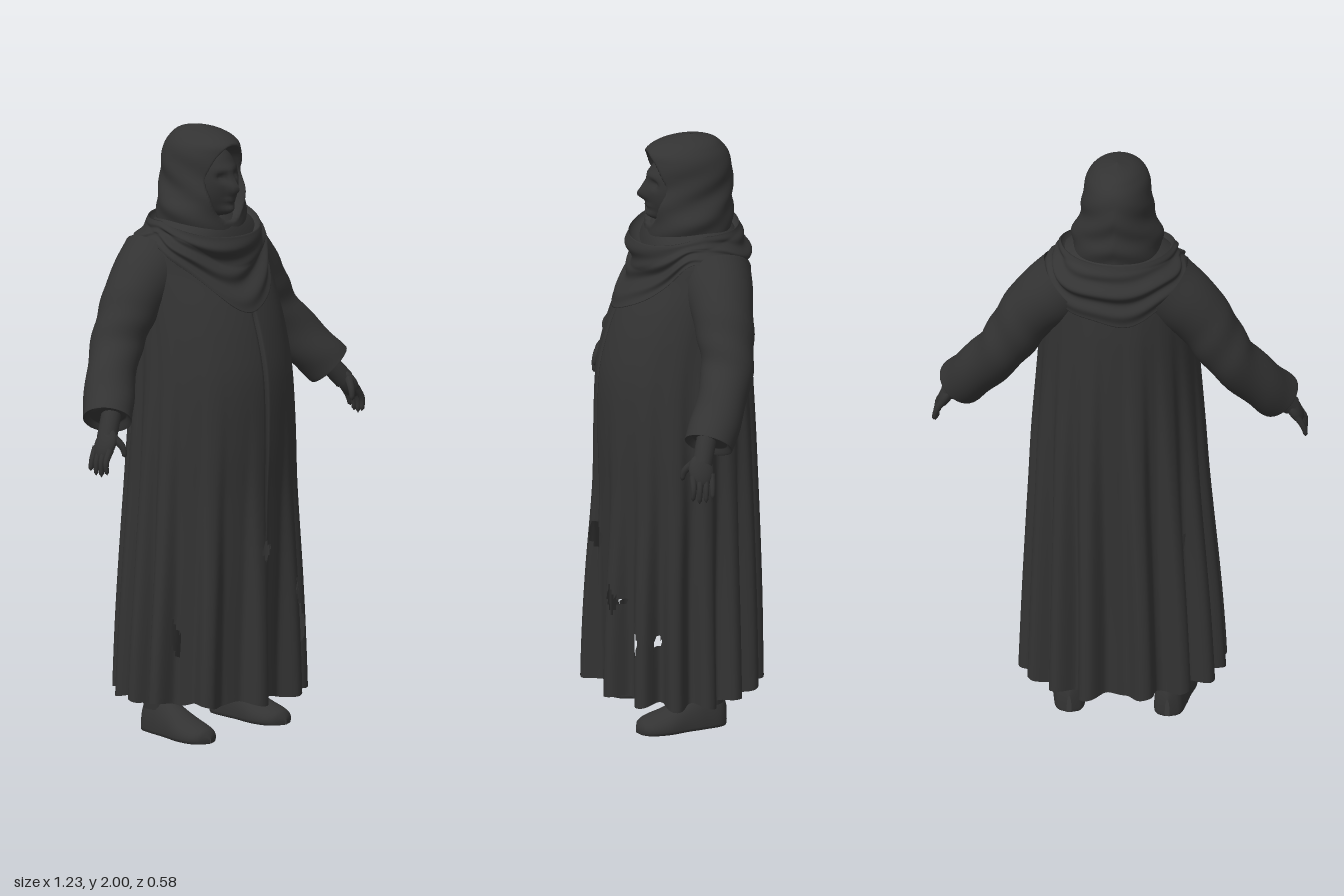
import * as THREE from 'three';
import { mergeVertices } from 'three/addons/utils/BufferGeometryUtils.js';

const { sin, cos, PI, max, min, abs, hypot } = Math;
const mix = (a, b, t) => a + (b - a) * t;
// Eases from 0 at a to 1 at b, in either direction
const smooth = (a, b, x) => {
  const t = min(max((x - a) / (b - a), 0), 1);
  return t * t * (3 - 2 * t);
};

const material = (name, color) => {
  const m = new THREE.MeshStandardMaterial({ color, side: THREE.DoubleSide });
  m.name = name;
  return m;
};

// Smooth surface from a rule f(u, v); u runs around, v runs along; skip() cuts holes
function surface(f, nu, nv, skip) {
  const pos = [], idx = [];
  for (let j = 0; j <= nv; j++)
    for (let i = 0; i < nu; i++) pos.push(...f(i / nu, j / nv));
  const tri = (a, b, c) => {
    const mid = k => (pos[a * 3 + k] + pos[b * 3 + k] + pos[c * 3 + k]) / 3;
    if (!skip || !skip(mid(0), mid(1), mid(2))) idx.push(a, b, c);
  };
  for (let j = 0; j < nv; j++)
    for (let i = 0; i < nu; i++) {
      const k = (i + 1) % nu, a = j * nu + i, b = j * nu + k, c = a + nu, d = b + nu;
      tri(a, b, d);
      tri(a, d, c);
    }
  const g = new THREE.BufferGeometry();
  g.setAttribute('position', new THREE.Float32BufferAttribute(pos, 3));
  g.setIndex(idx);
  g.computeVertexNormals();
  return g;
}

// Catmull-Rom lookup in rows sorted by their first number
function sample(rows, key) {
  let i = 0;
  while (i < rows.length - 2 && key > rows[i + 1][0]) i++;
  const p = rows[max(i - 1, 0)], a = rows[i], b = rows[i + 1], q = rows[min(i + 2, rows.length - 1)];
  const h = b[0] - a[0], t = min(max((key - a[0]) / h, 0), 1);
  return a.map((_, k) => {
    const m0 = (b[k] - p[k]) / (b[0] - p[0]) * h, m1 = (q[k] - a[k]) / (q[0] - a[0]) * h;
    return (2 * t ** 3 - 3 * t * t + 1) * a[k] + (t ** 3 - 2 * t * t + t) * m0
      + (3 * t * t - 2 * t ** 3) * b[k] + (t ** 3 - t * t) * m1;
  });
}

// Rows: height, half width, front z, back z
const ROBE = [[0.12, 0.308, 0.262, -0.265], [0.5, 0.293, 0.258, -0.26], [0.8, 0.282, 0.25, -0.257],
  [1, 0.276, 0.253, -0.256], [1.2, 0.265, 0.247, -0.253], [1.34, 0.256, 0.217, -0.25],
  [1.45, 0.25, 0.175, -0.246], [1.56, 0.245, 0.115, -0.236], [1.63, 0.228, 0.1, -0.225],
  [1.68, 0.18, 0.085, -0.2], [1.72, 0.11, 0.06, -0.16]];
const HOOD = [[1.6, 0.13, 0.075, -0.19], [1.7, 0.146, 0.088, -0.195], [1.74, 0.148, 0.092, -0.2],
  [1.78, 0.133, 0.095, -0.2], [1.82, 0.12, 0.094, -0.2], [1.88, 0.113, 0.093, -0.2], [1.93, 0.105, 0.093, -0.188],
  [1.96, 0.089, 0.08, -0.168], [1.985, 0.056, 0.025, -0.135], [2, 0.002, -0.06, -0.07]];

const section = (rows, y, a, grow = 0) => {
  const [, rx, zf, zb] = sample(rows, y);
  const cz = (zf + zb) / 2, rz = (zf - zb) / 2;
  return [(rx + grow) * sin(a), y, cz + (rz + grow) * cos(a)];
};

// Directions of the pleats in degrees, 0 at the front
const PLEATS = [-163, -138, -116, -97, -78, -43, -8, 27, 52, 75, 98, 120, 142, 163].map(d => d * PI / 180);

// Pleats deepen toward the hem and run higher on the back
function pleat(a, y) {
  const seam = a > PI ? a - 2 * PI : a, back = 0.5 - 0.5 * cos(a);
  const depth = mix(smooth(1.35, 0.1, y) ** 1.5, smooth(1.6, 0.3, y), back);
  let fold = -0.027;
  for (const p of PLEATS) {
    const d = abs(seam - p), w = min(d, 2 * PI - d) / 0.135;
    fold += 0.06 * Math.exp(-(w ** 4) - 0.3 * w * w);
  }
  const slit = -0.014 * Math.exp(-(((seam + 0.03) / 0.018) ** 2)) * smooth(1.46, 1.38, y);
  return depth * fold + slit;
}

const TEARS = [[-0.015, 0.63, 0.036, 0.05], [0.14, 0.46, 0.016, 0.055], [0.21, 0.34, 0.03, 0.075],
  [-0.27, 0.35, 0.02, 0.07]];

function robe() {
  return surface((u, v) => {
    const a = u * 2 * PI;
    const hem = 0.128 - 0.01 * sin(a) + 0.006 * sin(13 * a);
    const y = mix(hem, 1.72, v), p = section(ROBE, y, a, pleat(a, y));
    p[0] -= 0.014 * smooth(1.1, 0.1, y);
    return p;
  }, 260, 90, (x, y, z) => z > 0 &&
    TEARS.some(([tx, ty, w, h]) => abs(x - tx + 0.15 * (y - ty)) / w + abs(y - ty) / h < 1));
}

// Hood with a recessed face opening and slanting wrinkles
function hood() {
  return surface((u, v) => {
    const a = u * 2 * PI, y = mix(1.6, 2, 1 - (1 - v) ** 1.5);
    const wrinkle = 0.004 * sin(abs(a - PI) * 4 + y * 62) * smooth(1.97, 1.8, y);
    const p = section(HOOD, y, a, wrinkle);
    const d = hypot(p[0] / 0.082, (y - 1.825) / 0.125);
    if (cos(a) > 0) p[2] -= 0.07 * smooth(1.05, 0.8, d);
    return p;
  }, 120, 64);
}

// Shawl: rolls over at the neck, then drapes to a point front and back
function cowl() {
  return surface((u, v) => {
    const a = u * 2 * PI, c = cos(a), front = max(c, 0), back = max(-c, 0);
    const top = 1.71 - 0.045 * front - 0.01 * back;
    const edge = 1.635 - 0.215 * front ** 2.6 - 0.14 * back ** 1.6 + 0.008 * sin(7 * a);
    const rim = [0.185 * sin(a), top, -0.042 + (c > 0 ? 0.182 : 0.175) * c];
    if (v < 0.2) {
      const t = v / 0.2, s = mix(0.72, 1, sin(t * PI / 2));
      return [rim[0] * s, top - 0.035 * cos(t * PI / 2), -0.042 + (rim[2] + 0.042) * s];
    }
    const t = min((v - 0.2) / 0.76, 1), y = mix(top, edge, t);
    const ripple = 0.008 * sin(t * 17 + 1.2 * sin(2 * a) + sin(a)) * (0.4 + abs(c)) * sin(PI * t);
    const p = section(ROBE, y, a, (v > 0.97 ? 0 : 0.014 - 0.006 * t) + ripple + 0.01 * back * (1 - t));
    const reach = hypot(p[0], p[2] + 0.042);
    // The neck roll stands off the chest, then falls back onto it
    const least = hypot(rim[0], rim[2] + 0.042) * (1 - 0.18 * front * smooth(0.15, 0.5, t))
      + 0.018 * sin(PI * min(t, 0.5)) + ripple;
    const k = v > 0.97 ? 1 : max(1, least / reach);
    return [p[0] * k, y, -0.042 + (p[2] + 0.042) * k];
  }, 140, 60);
}

// Round limb along a path; radius(v, angle) sets its thickness
function limb(points, radius, nu = 16, nv = 20) {
  const curve = new THREE.CatmullRomCurve3(points.map(p => new THREE.Vector3(...p)));
  const frames = curve.computeFrenetFrames(nv);
  return surface((u, v) => {
    const a = u * 2 * PI, j = Math.round(v * nv), r = radius(v, a);
    return curve.getPoint(v).addScaledVector(frames.normals[j], r * cos(a))
      .addScaledVector(frames.binormals[j], r * sin(a)).toArray();
  }, nu, nv);
}

const SLEEVE = [[0, 0.118], [0.12, 0.112], [0.25, 0.1], [0.5, 0.084], [0.75, 0.08], [0.8, 0.077], [1, 0.05]];

function arm(cloth, skin, add) {
  const g = new THREE.Group();
  // Sleeve, with creases at the elbow and a cuff turned inward
  add(g, 'sleeve', limb([[0.155, 1.575, -0.1], [0.27, 1.47, -0.095], [0.375, 1.305, -0.08], [0.517, 1.118, 0.022], [0.502, 1.138, 0.012]],
    (v, a) => sample(SLEEVE, v)[1]
      + 0.003 * sin(v * 40 + 2 * a) * smooth(0.2, 0.4, v) * smooth(0.76, 0.62, v), 32, 48), cloth);
  add(g, 'forearm', limb([[0.46, 1.18, 0.0], [0.52, 1.11, 0.035], [0.555, 1.065, 0.055]], () => 0.033), skin);
  // Hand: palm, four fingers, thumb
  const palm = new THREE.SphereGeometry(1, 20, 14).scale(0.022, 0.055, 0.042).rotateZ(0.5).translate(0.566, 1.052, 0.06);
  add(g, 'palm', palm, skin);
  for (let i = 0; i < 4; i++) {
    const z = 0.028 + i * 0.021, len = [0.8, 0.96, 1, 0.88][i];
    add(g, 'finger', limb([[0.575, 1.04, z], [0.598, 1.0, z + 0.003], [0.607 - 0.004 * i, 1.03 - 0.08 * len, z + 0.005]],
      v => 0.0125 * (1 - 0.45 * v) * (v > 0.99 ? 0.1 : 1), 8, 10), skin);
  }
  add(g, 'thumb', limb([[0.55, 1.075, 0.08], [0.535, 1.045, 0.107], [0.53, 1.01, 0.115]],
    v => 0.015 * (1 - 0.5 * v) * (v > 0.99 ? 0.1 : 1), 8, 10), skin);
  return g;
}

// Shoe rows from heel to toe: z, half width, height
const SHOE = [[-0.14, 0.008, 0.06], [-0.125, 0.04, 0.11], [-0.06, 0.053, 0.13], [0, 0.058, 0.105],
  [0.07, 0.068, 0.07], [0.13, 0.058, 0.05], [0.16, 0.03, 0.035], [0.168, 0.002, 0.015]];

function leg(cloth, add) {
  const g = new THREE.Group();
  g.position.x = -0.01;
  add(g, 'trouserLeg', new THREE.CylinderGeometry(0.09, 0.055, 0.6, 20, 1, true).translate(0.16, 0.38, -0.075), cloth);
  add(g, 'shoe', surface((u, v) => {
    const a = u * 2 * PI, [z, w, h] = sample(SHOE, mix(-0.14, 0.168, v));
    const y = sin(a) > 0 ? 0.012 + (h - 0.012) * sin(a) : 0.012 * (1 + max(-1, 3 * sin(a)));
    return [0.162 + 0.054 * (z + 0.1) + w * cos(a), y, z];
  }, 28, 30), cloth);
  return g;
}

function face() {
  // Sunken eyes, brow, nose and chin pressed from a sphere
  const g = new THREE.SphereGeometry(1, 48, 48), p = g.attributes.position;
  for (let i = 0; i < p.count; i++) {
    const x = p.getX(i) * 0.085, y = 1.82 + p.getY(i) * 0.125;
    let z = -0.01 + p.getZ(i) * 0.095;
    if (p.getZ(i) > 0) {
      const bump = (bx, by, w, h, d) => d * Math.exp(-(((x - bx) / w) ** 2) - ((y - by) / h) ** 2);
      z += bump(0, 1.81, 0.014, 0.024, 0.034) + bump(0, 1.845, 0.01, 0.02, 0.012) + bump(0, 1.735, 0.03, 0.02, 0.028)
        + bump(0, 1.77, 0.022, 0.009, 0.012) + bump(0, 1.875, 0.05, 0.012, 0.008)
        - bump(0.031, 1.847, 0.016, 0.013, 0.018) - bump(-0.031, 1.847, 0.016, 0.013, 0.018);
    }
    p.setXYZ(i, x, y, z);
  }
  g.deleteAttribute('normal');
  g.deleteAttribute('uv');
  const m = mergeVertices(g);
  m.computeVertexNormals();
  return m;
}

export function createModel() {
  const root = new THREE.Group();
  const cloth = material('charcoal cloth', 0x333333);
  const skin = material('dark skin', 0x313131);
  const add = (parent, name, geometry, mat) => {
    const mesh = new THREE.Mesh(geometry, mat);
    mesh.name = name;
    parent.add(mesh);
  };
  add(root, 'robe', robe(), cloth);
  add(root, 'cowl', cowl(), cloth);
  add(root, 'hood', hood(), cloth);
  add(root, 'face', face(), skin);
  for (const [side, s] of [['left', 1], ['right', -1]])
    for (const [part, g] of [['Arm', arm(cloth, skin, add)], ['Leg', leg(cloth, add)]]) {
      g.name = side + part;
      g.scale.x = s;
      root.add(g);
    }
  return root;
}
